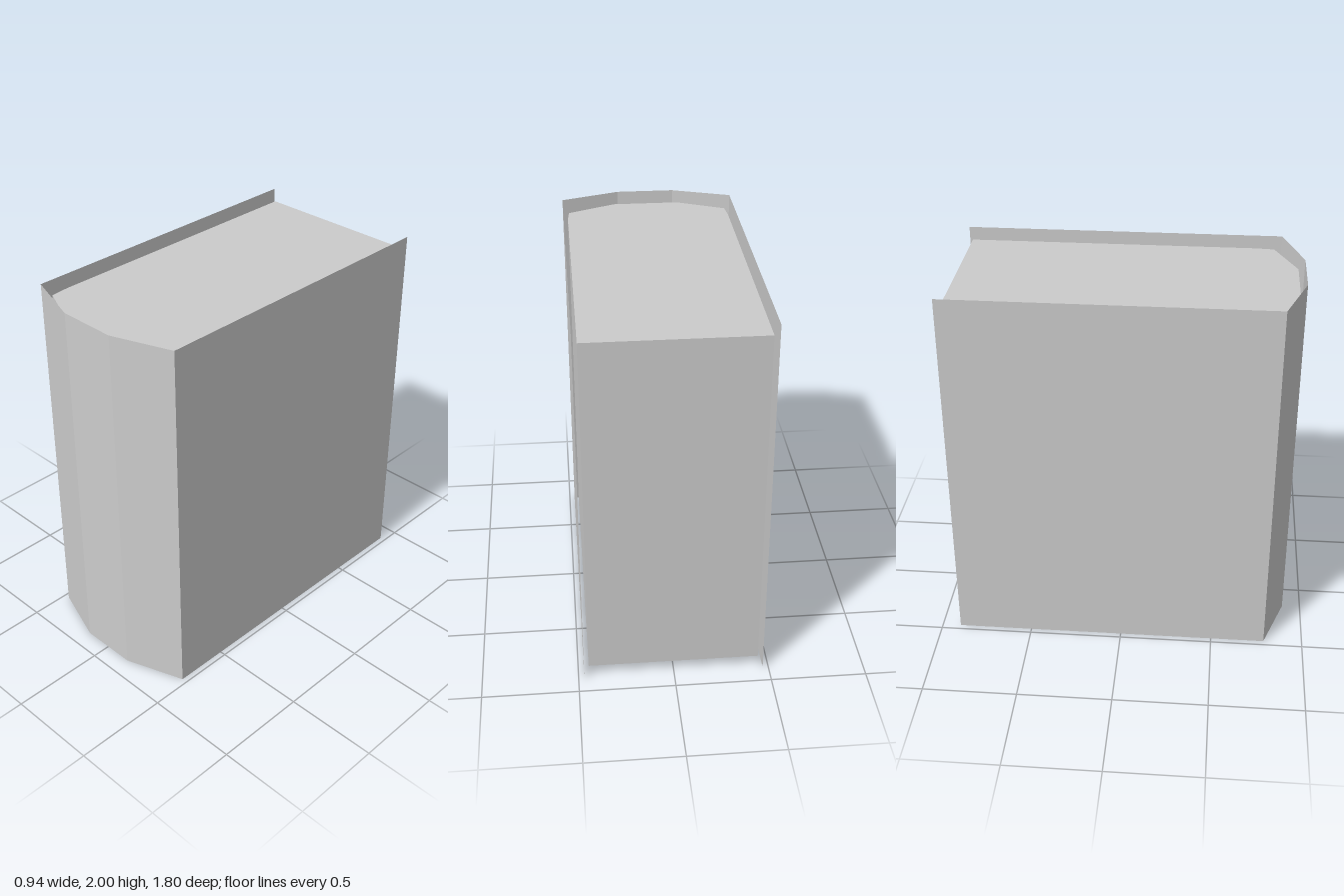
import * as THREE from 'three';

const HEIGHT = 2;
const OVERHANG = 0.0625; // how far the cover stands above and below the pages

// Thin sheet standing on y = 0, following a plan outline of [x, z] points
function standingSheet(outline, height) {
  const pos = [];
  for (let i = 0; i < outline.length - 1; i++) {
    const [ax, az] = outline[i];
    const [bx, bz] = outline[i + 1];
    pos.push(ax, 0, az, bx, 0, bz, bx, height, bz);
    pos.push(ax, 0, az, bx, height, bz, ax, height, az);
  }
  const geo = new THREE.BufferGeometry();
  geo.setAttribute('position', new THREE.Float32BufferAttribute(pos, 3));
  geo.computeVertexNormals();
  return geo;
}

export function createModel() {
  const model = new THREE.Group();
  model.name = 'book';

  // Cover: two flat boards joined by a three-facet spine, open at the back
  const coverMaterial = new THREE.MeshStandardMaterial({
    color: 0xcccccc, flatShading: true, side: THREE.DoubleSide,
  });
  const addCover = (name, outline) => {
    const mesh = new THREE.Mesh(standingSheet(outline, HEIGHT), coverMaterial);
    mesh.name = name;
    model.add(mesh);
  };
  addCover('rightCover', [[-0.47, -0.9], [-0.47, 0.79]]);
  addCover('spine', [[-0.47, 0.79], [-0.155, 0.9], [0.155, 0.9], [0.47, 0.79]]);
  addCover('leftCover', [[0.47, 0.79], [0.47, -0.9]]);

  // Page block: plan outline raised into a prism, shape y becoming -z
  const half = [[0.445, -0.88], [0.445, 0.65], [0.437, 0.75], [0.18, 0.87]];
  const plan = [...half, ...half.map(([x, z]) => [-x, z]).reverse()];
  const shape = new THREE.Shape(plan.map(([x, z]) => new THREE.Vector2(x, -z)));
  const pagesGeometry = new THREE.ExtrudeGeometry(shape, {
    depth: HEIGHT - 2 * OVERHANG, bevelEnabled: false,
  });
  pagesGeometry.rotateX(-Math.PI / 2);
  pagesGeometry.translate(0, OVERHANG, 0);
  const pages = new THREE.Mesh(
    pagesGeometry,
    new THREE.MeshStandardMaterial({ color: 0xcccccc, flatShading: true }),
  );
  pages.name = 'pages';
  model.add(pages);

  return model;
}
